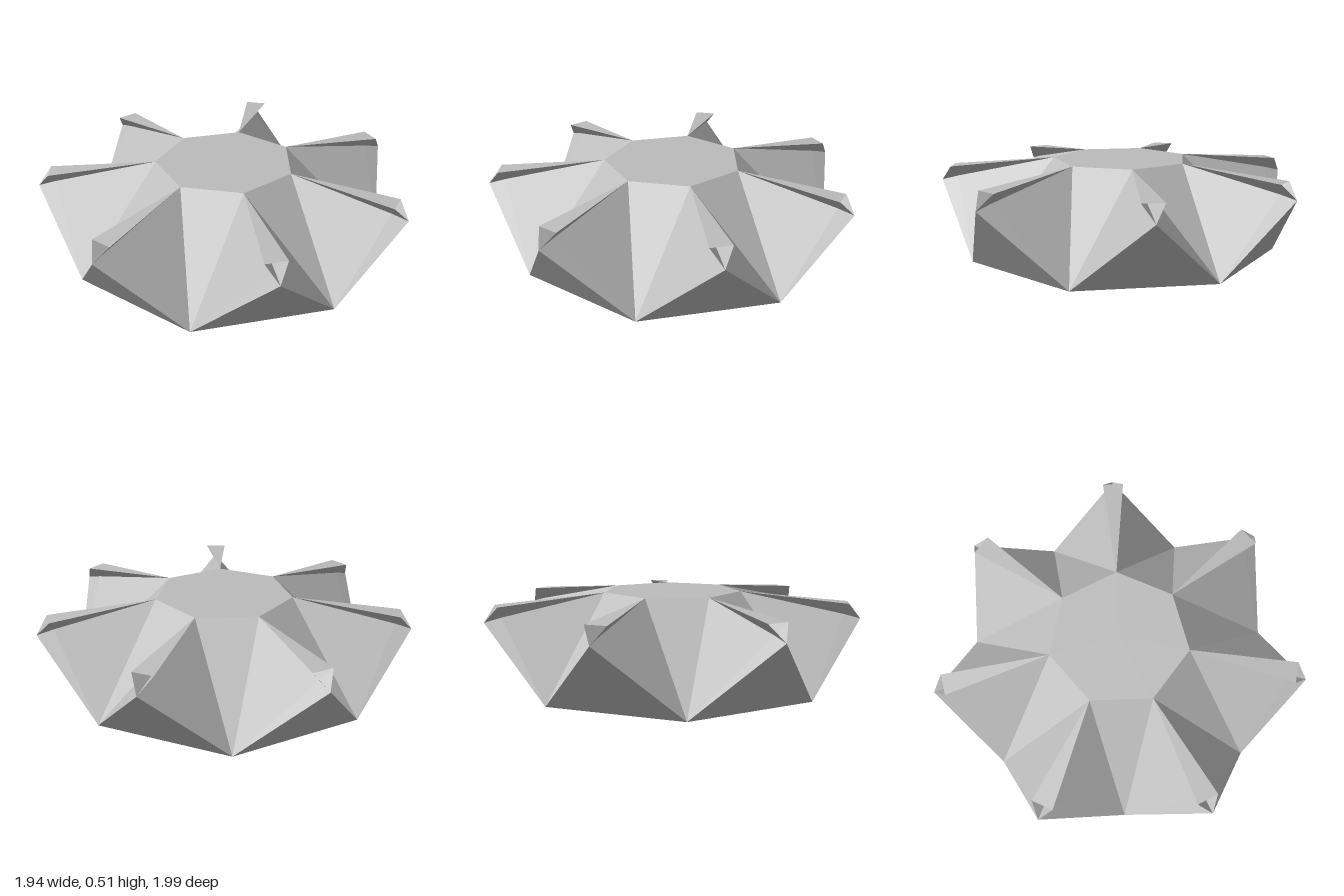
import * as THREE from 'three';

const SIDES = 7, STEP = (Math.PI * 2) / SIDES;
const TOP_R = 0.38, TOP_Y = 0.51, BASE_R = 0.857;

// Flat-shaded geometry from a list of triangles, each with three corner points
function facets(triangles) {
  const g = new THREE.BufferGeometry();
  g.setAttribute('position', new THREE.Float32BufferAttribute(triangles.flat(2), 3));
  g.computeVertexNormals();
  return g;
}

const polar = (r, a, y) => [r * Math.cos(a), y, r * Math.sin(a)];

export function createModel() {
  const model = new THREE.Group();
  model.name = 'facetedStar';
  const grey = new THREE.MeshStandardMaterial({ color: 0xbcbcbc, flatShading: true, side: THREE.DoubleSide });
  const add = (parent, name, geometry) => {
    const mesh = new THREE.Mesh(geometry, grey);
    mesh.name = name;
    parent.add(mesh);
    return mesh;
  };

  // Heptagonal top and base
  const top = add(model, 'topPlate', new THREE.CircleGeometry(TOP_R, SIDES).rotateX(-Math.PI / 2));
  top.position.y = TOP_Y;
  add(model, 'basePlate', new THREE.CircleGeometry(BASE_R, SIDES, STEP / 2).rotateX(Math.PI / 2));

  // Corner points of the arm that points along +x
  const T = polar(TOP_R, 0, TOP_Y), T2 = polar(TOP_R, STEP, TOP_Y);
  const B1 = polar(BASE_R, STEP / 2, 0), B2 = polar(BASE_R, -STEP / 2, 0);
  const U1 = [0.958, 0.46, 0.058], U2 = [0.958, 0.46, -0.058];
  const tip = [1.023, 0.375, 0];

  const parts = {
    slopeBetweenArms: facets([[T, T2, B1]]),
    armFlanks: facets([[T, B1, U2], [T, U1, B2]]), // flanks cross on the arm's axis
    armRidge: facets([[T, U1, U2]]),
    armOuterFace: facets([[B1, B2, tip]]),
    armEndFlaps: facets([[B1, tip, U2], [B2, U1, tip]]),
  };
  for (let i = 0; i < SIDES; i++) {
    const arm = new THREE.Group();
    arm.name = 'arm' + (i + 1);
    arm.rotation.y = i * STEP;
    for (const [name, geometry] of Object.entries(parts)) add(arm, name, geometry);
    model.add(arm);
  }

  // Centre the extents on x = 0
  for (const part of model.children) part.position.x = -0.053;
  return model;
}
